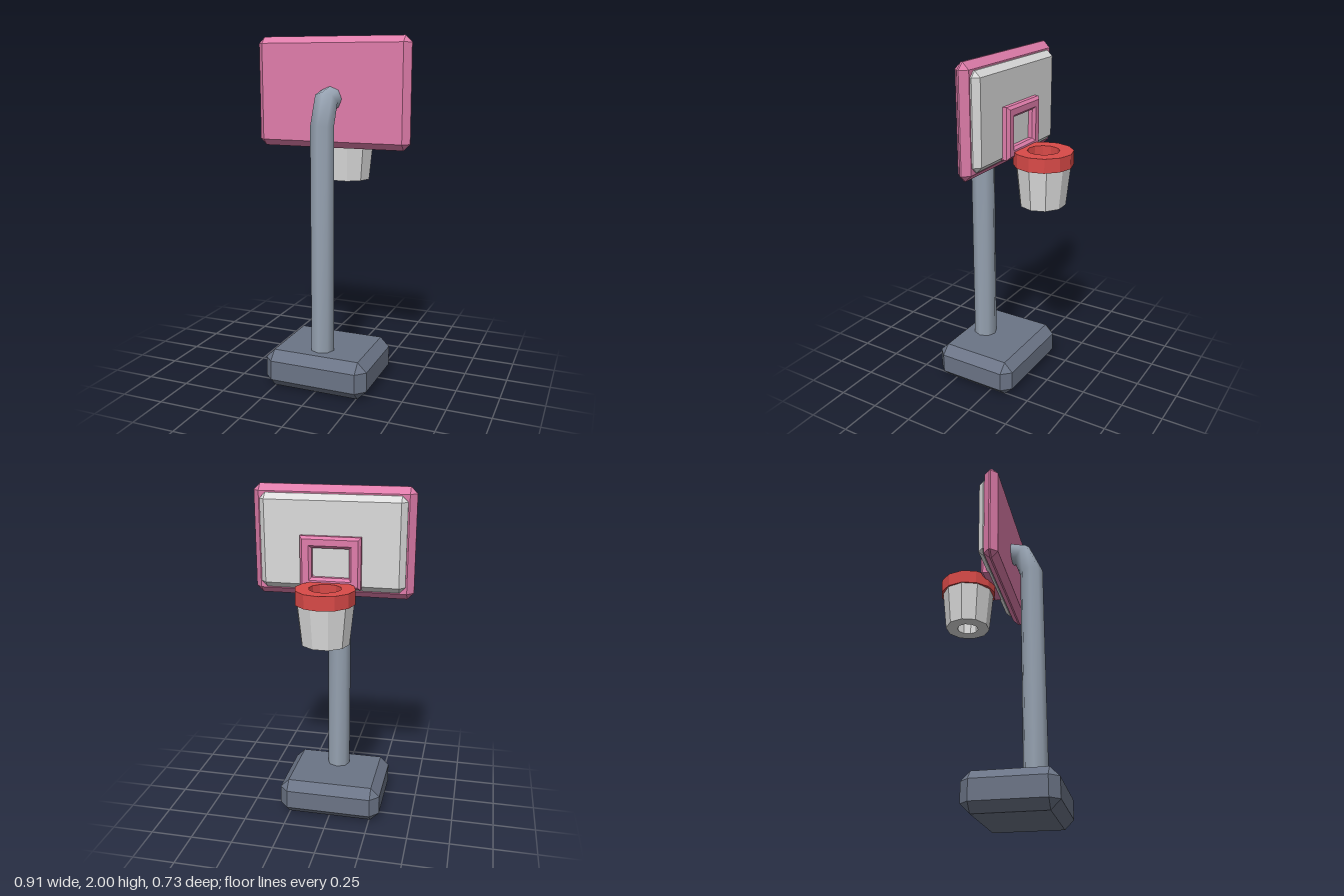
import * as THREE from 'three';
import { ConvexGeometry } from 'three/addons/geometries/ConvexGeometry.js';

function material(name, color) {
  const m = new THREE.MeshStandardMaterial({ color });
  m.name = name;
  return m;
}

// Box between two corners with every edge cut at 45 degrees
function chamferedBox(min, max, c) {
  const centre = min.map((v, i) => (v + max[i]) / 2);
  const half = min.map((v, i) => (max[i] - v) / 2);
  const points = [];
  for (const sx of [-1, 1]) for (const sy of [-1, 1]) for (const sz of [-1, 1]) {
    const s = [sx, sy, sz];
    for (let axis = 0; axis < 3; axis++) {
      points.push(new THREE.Vector3(...s.map((v, i) => centre[i] + v * (half[i] - (i === axis ? 0 : c)))));
    }
  }
  return new ConvexGeometry(points);
}

// Hollow faceted ring from a closed [radius, y] profile
function facetedRing(profile, sides, start) {
  const points = [...profile, profile[0]].map(([r, y]) => new THREE.Vector2(r, y));
  const g = new THREE.LatheGeometry(points, sides, start).toNonIndexed();
  g.computeVertexNormals();
  return g;
}

// Smooth eight-sided pipe through rings of [y, z, tilt]
function bentPole(rings, radius, sides) {
  const positions = [], index = [];
  for (const [y, z, tilt] of rings) {
    for (let j = 0; j < sides; j++) {
      const a = (j / sides) * Math.PI * 2;
      const out = radius * Math.sin(a);
      positions.push(radius * Math.cos(a), y + out * Math.sin(tilt), z + out * Math.cos(tilt));
    }
  }
  for (let i = 0; i < rings.length - 1; i++) {
    for (let j = 0; j < sides; j++) {
      const p = i * sides + j, q = i * sides + (j + 1) % sides;
      index.push(p, p + sides, q, q, p + sides, q + sides);
    }
  }
  const g = new THREE.BufferGeometry();
  g.setAttribute('position', new THREE.Float32BufferAttribute(positions, 3));
  g.setIndex(index);
  g.computeVertexNormals();
  return g;
}

function rectangle(path, x, y0, y1) {
  path.moveTo(-x, y0);
  path.lineTo(x, y0);
  path.lineTo(x, y1);
  path.lineTo(-x, y1);
  path.closePath();
  return path;
}

export function createModel() {
  const group = new THREE.Group();
  group.name = 'basketballHoop';

  const slate = material('slate', 0x6b7486);
  const steel = material('steel', 0x96a2b1);
  const pink = material('pink', 0xe07dab);
  const white = material('white', 0xdcdcdc);
  const red = material('red', 0xd94a48);

  const add = (name, geometry, mat) => {
    const mesh = new THREE.Mesh(geometry, mat);
    mesh.name = name;
    group.add(mesh);
    return mesh;
  };

  // Stand
  add('base', chamferedBox([-0.31, 0, -0.15], [0.31, 0.22, 0.365], 0.053), slate);
  add('pole', bentPole([
    [0.2, 0.2, 0],
    [1.51, 0.2, 0.12],
    [1.645, 0.145, 0.88],
    [1.665, 0.05, Math.PI / 2],
  ], 0.07, 8), steel);

  // Board: coloured surround with a raised pale panel behind
  add('backboard', chamferedBox([-0.457, 1.38, 0], [0.457, 2, 0.083], 0.037), pink);
  add('boardPanel', chamferedBox([-0.412, 1.425, -0.04], [0.412, 1.955, 0.04], 0.032), white);

  // Raised target frame with a rectangular opening
  const shape = rectangle(new THREE.Shape(), 0.172, 1.445, 1.735);
  shape.holes.push(rectangle(new THREE.Path(), 0.105, 1.505, 1.67));
  const frame = new THREE.ExtrudeGeometry(shape, {
    depth: 0.05, bevelEnabled: true, bevelThickness: 0.015,
    bevelSize: 0.015, bevelOffset: -0.015, bevelSegments: 1,
  });
  frame.translate(0, 0, -0.065);
  add('targetFrame', frame, pink);

  // Rim and thick tapering net
  const rim = add('rim', facetedRing(
    [[0.168, 1.4], [0.168, 1.48], [0.09, 1.48], [0.09, 1.4]], 12, 0), red);
  const net = add('net', facetedRing(
    [[0.137, 1.17], [0.163, 1.41], [0.09, 1.41], [0.065, 1.17]], 10, Math.PI / 2), white);
  rim.position.z = net.position.z = -0.197;
  net.scale.z = 0.95;

  return group;
}
